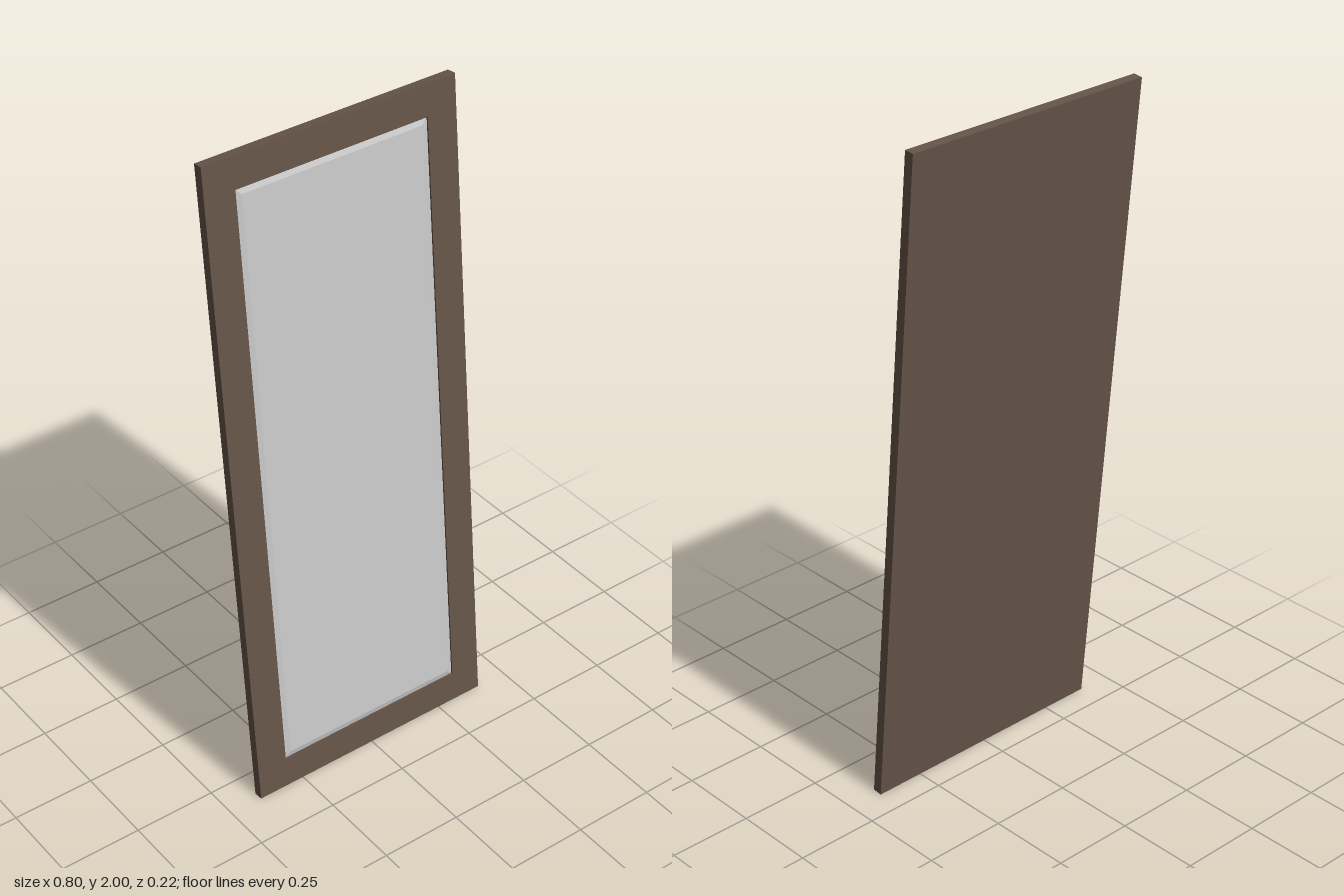
import * as THREE from 'three';

const WIDTH = 0.8, HEIGHT = 2.006, THICK = 0.029;
const GLASS_W = 0.61, GLASS_H = 1.816, RECESS = 0.005, BEVEL = 0.018;

function rectangle(PathType, w, h) {
  const p = new PathType();
  p.moveTo(-w / 2, -h / 2);
  p.lineTo(w / 2, -h / 2);
  p.lineTo(w / 2, h / 2);
  p.lineTo(-w / 2, h / 2);
  p.closePath();
  return p;
}

// Thin slab whose front face is inset, giving four sloping edges
function bevelledSlab(w, h, d, inset) {
  const geo = new THREE.BoxGeometry(w, h, d).toNonIndexed();
  const pos = geo.attributes.position;
  for (let i = 0; i < pos.count; i++) {
    if (pos.getZ(i) > 0) {
      pos.setX(i, pos.getX(i) - Math.sign(pos.getX(i)) * inset);
      pos.setY(i, pos.getY(i) - Math.sign(pos.getY(i)) * inset);
    }
  }
  geo.computeVertexNormals();
  return geo;
}

export function createModel() {
  const wood = new THREE.MeshStandardMaterial({ color: 0x665448 });
  wood.name = 'brown wood';
  const silver = new THREE.MeshStandardMaterial({ color: 0xc8c8c8 });
  silver.name = 'silver glass';

  const model = new THREE.Group();
  model.name = 'leaningMirror';
  const add = (name, geo, mat, z) => {
    const mesh = new THREE.Mesh(geo, mat);
    mesh.name = name;
    mesh.position.z = z;
    leaning.add(mesh);
  };

  // Everything leans back together
  const leaning = new THREE.Group();
  leaning.name = 'leaningPanel';
  leaning.rotation.x = -0.0932;
  leaning.position.y = 1;
  model.add(leaning);

  // Solid board behind the glass
  add('backBoard', new THREE.BoxGeometry(WIDTH, HEIGHT, THICK - RECESS), wood, -RECESS / 2);

  // Raised border around the opening
  const border = rectangle(THREE.Shape, WIDTH, HEIGHT);
  border.holes.push(rectangle(THREE.Path, GLASS_W, GLASS_H));
  add('frame', new THREE.ExtrudeGeometry(border, { depth: RECESS, bevelEnabled: false }),
    wood, THICK / 2 - RECESS);

  // Glass with bevelled edges, flush with the border
  add('mirrorGlass', bevelledSlab(GLASS_W, GLASS_H, RECESS, BEVEL), silver, THICK / 2 - RECESS / 2);

  return model;
}
